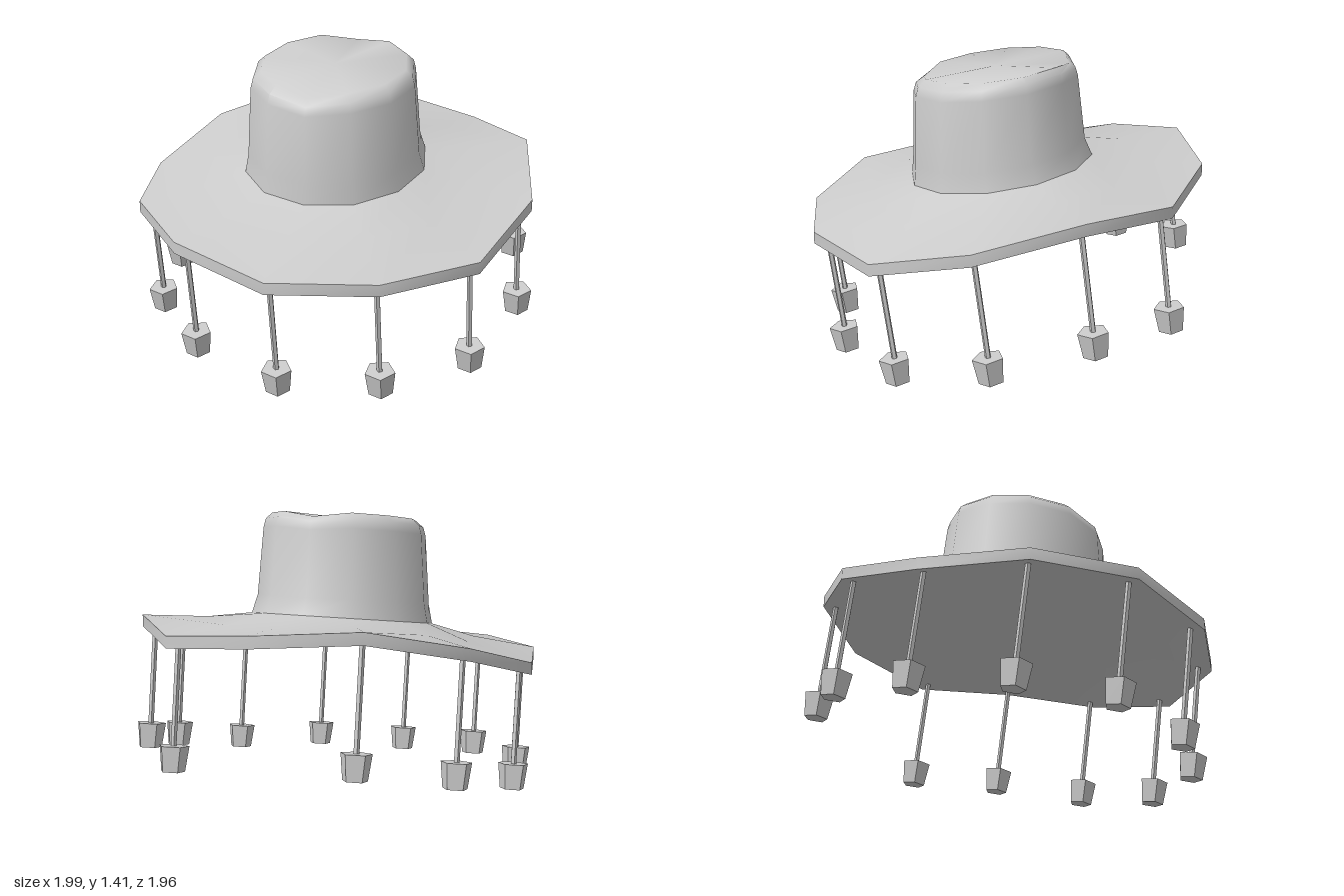
import * as THREE from 'three';
import { toCreasedNormals } from 'three/addons/utils/BufferGeometryUtils.js';

const SIDES = 12;
const V = (x, y, z) => new THREE.Vector3(x, y, z);

// Skin a stack of 12-point rings; a ring given as one point closes the end as a fan.
function loft(rings, crease) {
  const pos = [];
  const at = (ring, k) => ring[ring.length === 1 ? 0 : k % SIDES];
  const tri = (a, b, c) => pos.push(...a.toArray(), ...b.toArray(), ...c.toArray());
  for (let i = 0; i < rings.length - 1; i++) {
    const lo = rings[i], hi = rings[i + 1];
    for (let k = 0; k < SIDES; k++) {
      if (lo.length > 1) tri(at(lo, k), at(lo, k + 1), at(hi, k + 1));
      if (hi.length > 1) tri(at(lo, k), at(hi, k + 1), at(hi, k));
    }
  }
  const geo = new THREE.BufferGeometry();
  geo.setAttribute('position', new THREE.Float32BufferAttribute(pos, 3));
  return toCreasedNormals(geo, crease);
}

// Tilted ring, starting at the front and running towards +x.
function ring(r, cz, y, slope, dent = 0) {
  return Array.from({ length: SIDES }, (_, k) => {
    const a = (k / SIDES) * Math.PI * 2;
    const z = cz + r * Math.cos(a);
    return V(r * Math.sin(a), y - slope * z - (k % 6 === 0 ? dent : 0), z);
  });
}

export function createModel() {
  const hat = new THREE.Group();
  hat.name = 'corkHat';
  const material = new THREE.MeshStandardMaterial({ color: 0xcccccc });
  const add = (parent, name, geo) => {
    const mesh = new THREE.Mesh(geo, material);
    mesh.name = name;
    parent.add(mesh);
    return mesh;
  };

  // Wavy rim heights, front first, towards +x
  const rimY = [0.64, 0.65, 0.655, 0.785, 0.905, 0.87, 0.92, 0.95, 0.85, 0.72, 0.715, 0.705];
  const rim = rimY.map((y, k) => {
    const a = (k / SIDES) * Math.PI * 2;
    return V(0.99 * Math.sin(a), y, 0.98 * Math.cos(a));
  });
  const base = ring(0.455, 0.015, 0.877, 0.15);
  const mid = base.map((p, k) => p.clone().lerp(rim[k], 0.4).add(V(0, -0.015, 0)));
  const lower = (points) => points.map((p) => p.clone().add(V(0, -0.058, 0)));

  // Brim: closed underside, thin edge, dished upper face
  add(hat, 'brim', loft([[V(0, 0.81, 0)], lower(mid), lower(rim), rim, mid, base], 0.8));

  // Crown: tapering wall, rounded shoulder, top dented at front and back
  add(hat, 'crown', loft([
    base,
    ring(0.432, 0.03, 0.97, 0.14),
    ring(0.407, 0.045, 1.31, 0.13, 0.015),
    ring(0.395, 0.045, 1.355, 0.13, 0.02),
    ring(0.36, 0.04, 1.385, 0.13, 0.025),
    [V(0, 1.375, 0.04)],
  ], 0.8));

  // Hanging corks: rim corner index and height of the cork's top
  const corkTops = [[0, 0.13], [1, 0.14], [2, 0.16], [3, 0.26], [4, 0.36], [5, 0.35],
    [7, 0.41], [8, 0.33], [9, 0.23], [10, 0.2], [11, 0.18]];
  const stringGeo = new THREE.CylinderGeometry(0.014, 0.014, 1, 5).toNonIndexed();
  stringGeo.computeVertexNormals();
  const corkGeo = new THREE.CylinderGeometry(0.074, 0.059, 0.12, 5).toNonIndexed();
  corkGeo.computeVertexNormals();
  for (const [k, corkTop] of corkTops) {
    const pendant = new THREE.Group();
    pendant.name = 'pendant';
    const top = rim[k].y - 0.03;
    const length = top - corkTop;
    pendant.position.set(rim[k].x * 0.937, top, rim[k].z * 0.93);
    pendant.rotation.x = 0.13;
    const string = add(pendant, 'string', stringGeo);
    string.scale.y = length;
    string.position.y = -length / 2;
    const cork = add(pendant, 'cork', corkGeo);
    cork.position.y = -length - 0.055;
    cork.rotation.y = 0.35;
    hat.add(pendant);
  }
  return hat;
}
